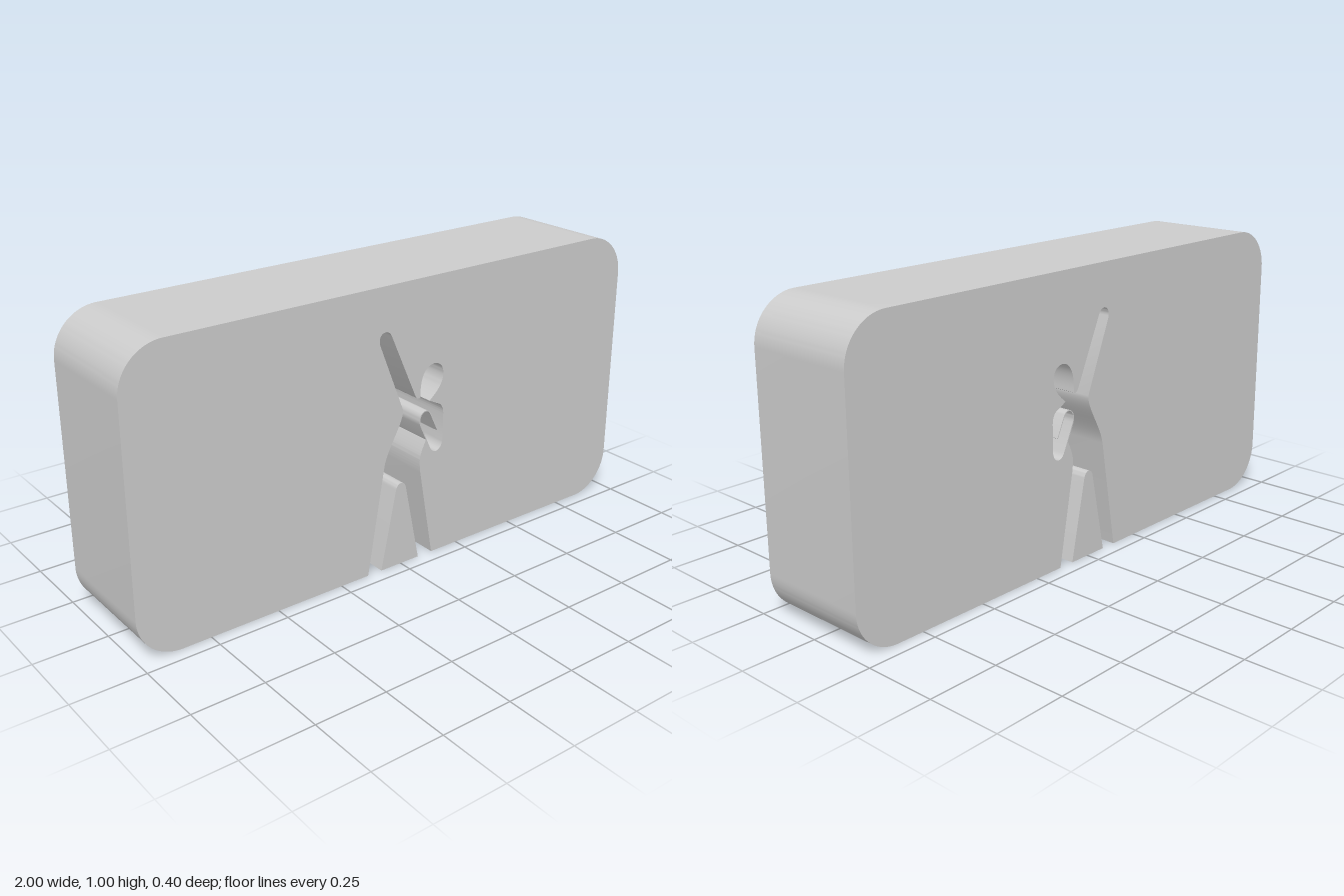
import * as THREE from 'three';
import { toCreasedNormals } from 'three/addons/utils/BufferGeometryUtils.js';

const DEPTH = 0.4;
const material = new THREE.MeshStandardMaterial({ color: 0xcccccc });

// Extrude a front outline through the depth, smooth on curves and sharp at corners
function extruded(name, shape) {
  const geometry = new THREE.ExtrudeGeometry(shape, { depth: DEPTH, bevelEnabled: false, curveSegments: 14 });
  geometry.translate(0, 0, -DEPTH / 2);
  const mesh = new THREE.Mesh(toCreasedNormals(geometry, 0.6), material);
  mesh.name = name;
  return mesh;
}

function slabShape() {
  const r = 0.15;
  const s = new THREE.Shape();
  // Rounded outer edge, from the right foot opening around to the left one
  s.moveTo(0.137, 0);
  s.lineTo(1 - r, 0);
  s.absarc(1 - r, r, r, -Math.PI / 2, 0);
  s.absarc(1 - r, 1 - r, r, 0, Math.PI / 2);
  s.absarc(-1 + r, 1 - r, r, Math.PI / 2, Math.PI);
  s.absarc(-1 + r, r, r, Math.PI, Math.PI * 1.5);
  s.lineTo(-0.14, 0);
  // Outer leg, hip and side
  s.lineTo(-0.073, 0.385);
  s.bezierCurveTo(-0.06, 0.45, 0.005, 0.52, 0.003, 0.567);
  // Raised arm
  s.lineTo(-0.093, 0.81);
  s.bezierCurveTo(-0.106, 0.85, -0.06, 0.865, -0.046, 0.83);
  s.lineTo(0.054, 0.604);
  s.quadraticCurveTo(0.064, 0.585, 0.076, 0.594);
  // Head
  s.bezierCurveTo(0.072, 0.66, 0.095, 0.7, 0.133, 0.7);
  s.bezierCurveTo(0.175, 0.698, 0.185, 0.65, 0.158, 0.613);
  s.quadraticCurveTo(0.143, 0.593, 0.115, 0.572);
  // Shoulder, upper arm and elbow
  s.lineTo(0.153, 0.553);
  s.quadraticCurveTo(0.177, 0.543, 0.177, 0.51);
  s.lineTo(0.176, 0.42);
  s.bezierCurveTo(0.174, 0.375, 0.135, 0.37, 0.122, 0.4);
  s.lineTo(0.106, 0.435);
  // Thin wall around the hand: inner side up, outer side back
  s.lineTo(0.08, 0.494);
  s.bezierCurveTo(0.068, 0.535, 0.108, 0.552, 0.121, 0.521);
  s.lineTo(0.152, 0.455);
  s.lineTo(0.154, 0.457);
  s.lineTo(0.124, 0.523);
  s.bezierCurveTo(0.108, 0.556, 0.064, 0.538, 0.076, 0.493);
  s.lineTo(0.103, 0.434);
  // Waist and other leg
  s.quadraticCurveTo(0.08, 0.39, 0.078, 0.37);
  s.quadraticCurveTo(0.077, 0.345, 0.081, 0.32);
  s.lineTo(0.137, 0);
  return s;
}

function wedgeShape() {
  const s = new THREE.Shape();
  s.moveTo(-0.083, 0);
  s.lineTo(0.077, 0);
  s.lineTo(0.019, 0.285);
  s.bezierCurveTo(0.013, 0.312, -0.017, 0.312, -0.023, 0.285);
  s.lineTo(-0.083, 0);
  return s;
}

export function createModel() {
  const group = new THREE.Group();
  group.name = 'silhouetteBlock';
  group.add(extruded('slab', slabShape()), extruded('wedgeBetweenLegs', wedgeShape()));
  return group;
}
